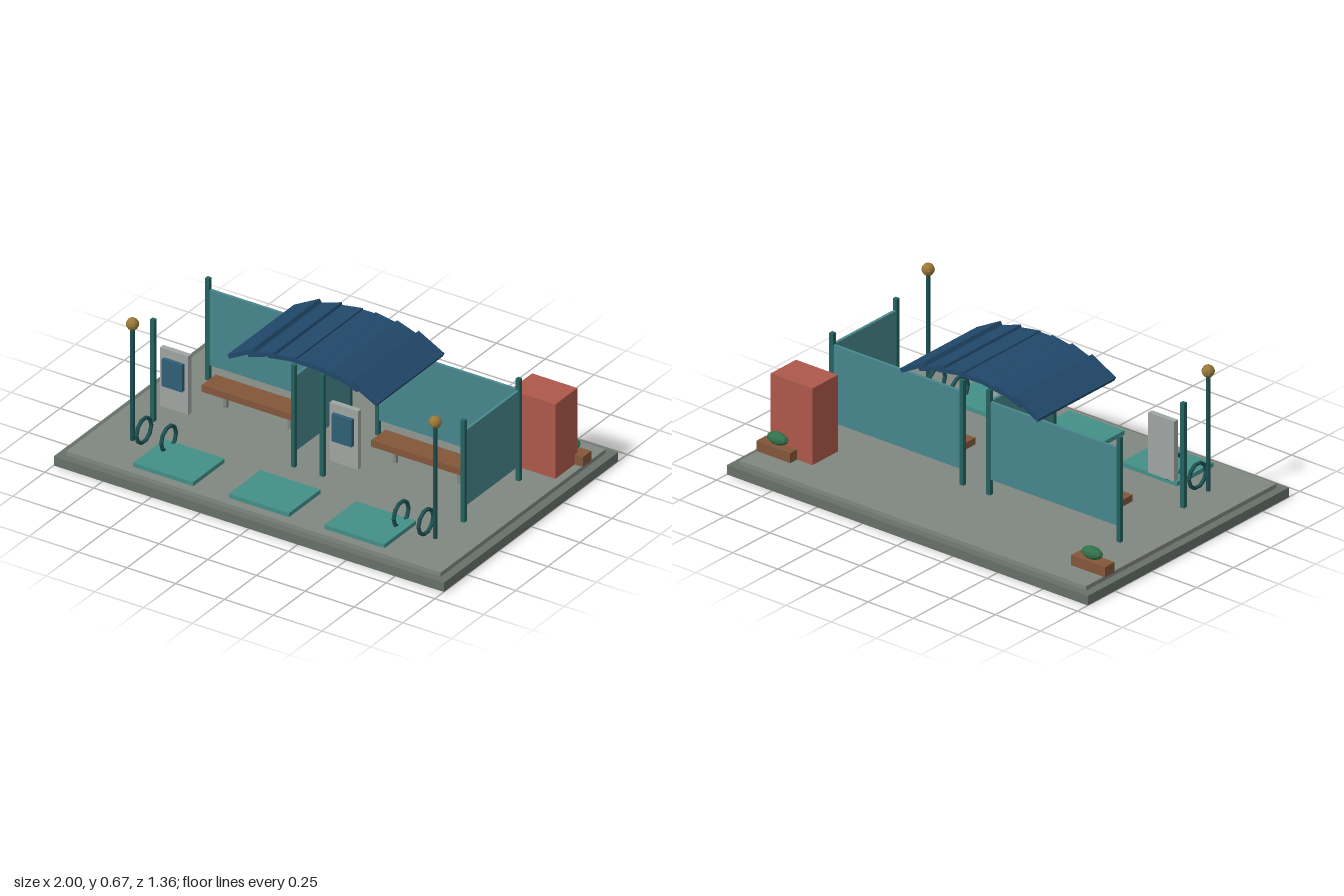
import * as THREE from 'three';

const mat = (color) => new THREE.MeshStandardMaterial({ color, flatShading: true });
const M = {
  kerb: mat(0x667068), paving: mat(0x808680), frame: mat(0x23625f), glass: mat(0x47868c),
  roof: mat(0x21486a), wood: mat(0x83563a), metal: mat(0x7d8885), board: mat(0x9fa5a2),
  screen: mat(0x2f6078), mat: mat(0x438f88), rack: mat(0x1d5052), lamp: mat(0x9a7838),
  cabinet: mat(0xad584a), leaf: mat(0x32704a),
};
const GROUND = 0.065;

function add(parent, name, geometry, material, x, y, z) {
  const mesh = new THREE.Mesh(geometry, material);
  mesh.name = name;
  mesh.position.set(x, y, z);
  parent.add(mesh);
  return mesh;
}

// Box given by its limits on each axis
function box(parent, name, material, [x0, x1], [y0, y1], [z0, z1]) {
  return add(parent, name, new THREE.BoxGeometry(x1 - x0, y1 - y0, z1 - z0), material,
    (x0 + x1) / 2, (y0 + y1) / 2, (z0 + z1) / 2);
}

function group(parent, name, x = 0, z = 0) {
  const g = new THREE.Group();
  g.name = name;
  g.position.set(x, 0, z);
  parent.add(g);
  return g;
}

// Shelter bay: four posts, back and side panels, bench and notice board
function shelter(parent, cx) {
  const g = group(parent, 'shelter', cx);
  const hx = 0.361, hz = 0.215, t = 0.007;
  for (const x of [-hx, hx]) for (const z of [-hz, hz])
    box(g, 'post', M.frame, [x - 0.01, x + 0.01], [GROUND, 0.565], [z - 0.01, z + 0.01]);
  box(g, 'backPanel', M.glass, [-hx, hx], [0.14, 0.51], [-hz - t, -hz + t]);
  box(g, 'sidePanel', M.glass, [hx - t, hx + t], [0.14, 0.51], [-hz, hz]);

  box(g, 'benchSeat', M.wood, [-0.253, 0.253], [0.14, 0.172], [-0.108, 0.002]);
  for (const x of [-0.165, 0.165])
    box(g, 'benchLeg', M.metal, [x - 0.008, x + 0.008], [GROUND, 0.14], [-0.061, -0.045]);

  box(g, 'noticeBoard', M.board, [-0.308, -0.163], [0.168, 0.455], [0.217, 0.243]);
  box(g, 'noticeScreen', M.screen, [-0.287, -0.183], [0.28, 0.413], [0.243, 0.262]);
}

// Lamp post with a round globe
function lamp(parent, x) {
  const g = group(parent, 'lampPost', x, 0.405);
  add(g, 'pole', new THREE.CylinderGeometry(0.01, 0.01, 0.56, 8), M.rack, 0, GROUND + 0.28, 0);
  add(g, 'globe', new THREE.SphereGeometry(0.029, 10, 8), M.lamp, 0, 0.637, 0);
}

// Planter box with a low shrub
function planter(parent, x) {
  const g = group(parent, 'planter', x, -0.492);
  box(g, 'planterBox', M.wood, [-0.094, 0.094], [GROUND, 0.113], [-0.033, 0.033]);
  add(g, 'shrub', new THREE.IcosahedronGeometry(1, 1), M.leaf, 0, 0.143, -0.004)
    .scale.set(0.056, 0.029, 0.031);
}

export function createModel() {
  const model = new THREE.Group();
  model.name = 'transitStop';

  // Platform
  box(model, 'kerb', M.kerb, [-1, 1], [0, 0.045], [-0.68, 0.68]);
  box(model, 'paving', M.paving, [-0.96, 0.96], [0.045, GROUND], [-0.643, 0.643]);

  // Shelters
  for (const x of [-0.435, 0.435]) shelter(model, x);

  // Arched roof of overlapping slats
  const roof = group(model, 'roof');
  for (let i = -3; i <= 3; i++) {
    const k = i / 3;
    const slat = add(roof, 'roofSlat', new THREE.BoxGeometry(0.15, 0.02, 0.52), M.roof,
      k * 0.315, 0.615 - 0.05 * k * k, 0);
    slat.rotation.z = -k * 0.49;
  }

  // Ground pads
  for (const x of [-0.493, -0.002, 0.488])
    box(model, 'groundPad', M.mat, [x - 0.154, x + 0.154], [GROUND, 0.085], [0.352, 0.598]);

  // Ring racks
  for (const x of [-0.725, -0.598, 0.594, 0.721])
    add(model, 'ringRack', new THREE.TorusGeometry(0.058, 0.009, 6, 10), M.rack, x, 0.125, 0.396)
      .rotation.y = Math.PI / 2;

  // Lamps and planters
  for (const x of [-0.777, 0.775]) lamp(model, x);
  for (const x of [-0.874, 0.87]) planter(model, x);

  // Cabinet
  box(model, 'cabinet', M.cabinet, [0.69, 0.922], [GROUND, 0.431], [-0.48, -0.308]);

  return model;
}
